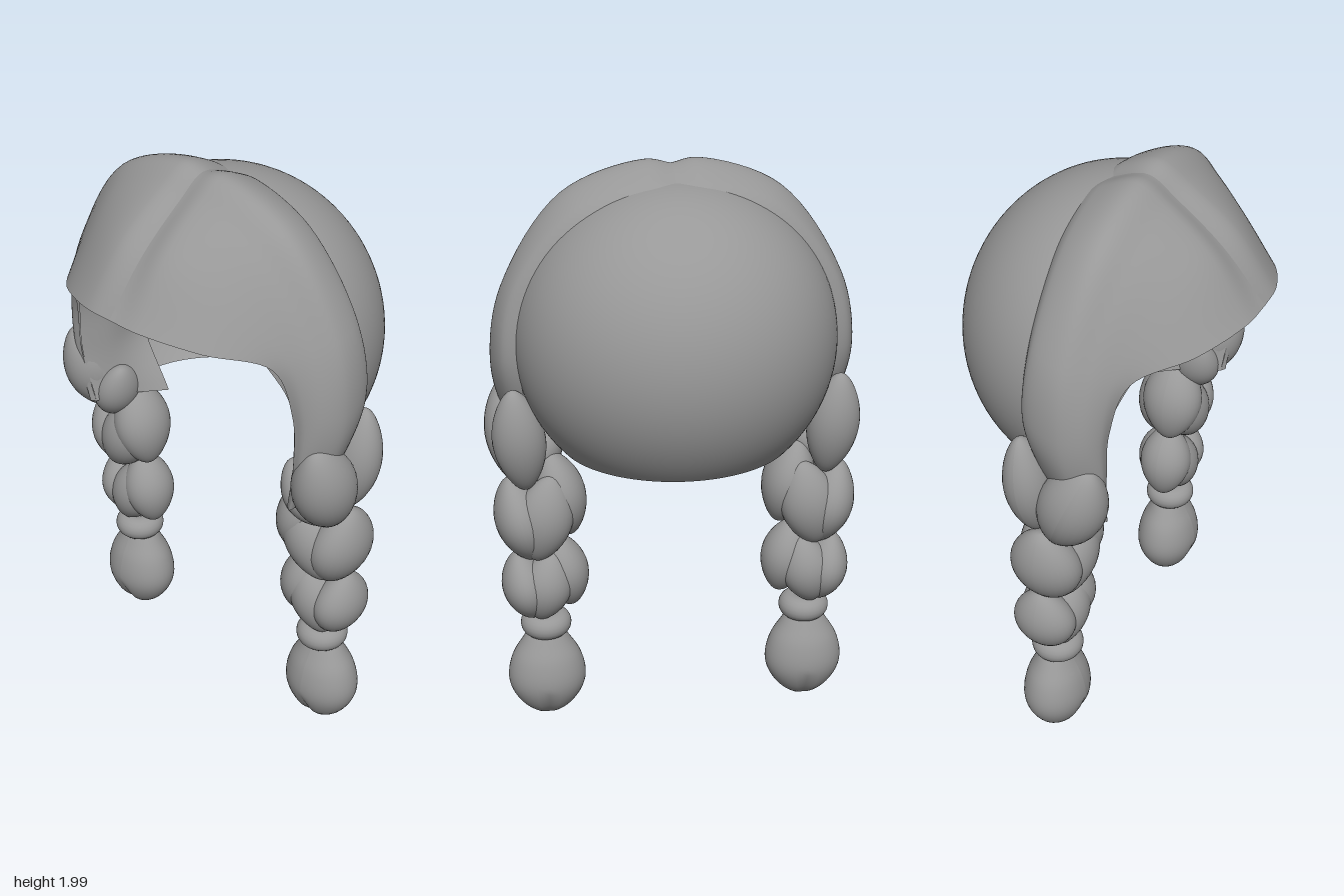
import * as THREE from 'three';

const hair = new THREE.MeshStandardMaterial({ color: 0x989898, side: THREE.DoubleSide });
hair.name = 'grey hair';

function add(parent, name, geometry) {
  const mesh = new THREE.Mesh(geometry, hair);
  mesh.name = name;
  parent.add(mesh);
  return mesh;
}

const curve = (pts) => new THREE.CatmullRomCurve3(pts.map((p) => new THREE.Vector3(...p)));

// Smooth sheet through a row of guide curves; side -1 mirrors it in x
function sheet(guides, side, nu = 40, nv = 30) {
  const curves = guides.map(curve);
  const pos = [], idx = [];
  for (let i = 0; i <= nu; i++) {
    const across = new THREE.CatmullRomCurve3(curves.map((c) => c.getPoint(i / nu)));
    for (let j = 0; j <= nv; j++) {
      const p = across.getPoint(j / nv);
      pos.push(p.x * side, p.y, p.z);
    }
  }
  for (let i = 0; i < nu; i++) {
    for (let j = 0; j < nv; j++) {
      const a = i * (nv + 1) + j, b = a + 1, c = a + nv + 1, d = c + 1;
      if (side > 0) idx.push(a, b, c, b, d, c);
      else idx.push(a, c, b, b, c, d);
    }
  }
  const g = new THREE.BufferGeometry();
  g.setAttribute('position', new THREE.Float32BufferAttribute(pos, 3));
  g.setIndex(idx);
  g.computeVertexNormals();
  return g;
}

// Plump strand of hair: an ellipsoid narrowed towards its ends
function strand(rx, ry, rz, pinch = 0.25) {
  const g = new THREE.SphereGeometry(1, 32, 24);
  const p = g.attributes.position;
  for (let i = 0; i < p.count; i++) {
    const y = p.getY(i), k = 1 - pinch * y * y;
    p.setXYZ(i, p.getX(i) * k * rx, y * ry, p.getZ(i) * k * rz);
  }
  g.computeVertexNormals();
  return g;
}

// Swept front hair, from the seam behind the ridge to the fringe edge
const frontGuides = [
  [[0, 1.925, -0.07], [0.1, 1.925, -0.07], [0.3, 1.84, -0.07], [0.48, 1.62, -0.07], [0.525, 1.38, -0.08], [0.5, 1.2, -0.06], [0.46, 1.08, -0.03]],
  [[0, 1.95, -0.02], [0.1, 1.96, -0.02], [0.34, 1.875, -0.02], [0.54, 1.62, -0.03], [0.585, 1.38, -0.04], [0.56, 1.2, 0], [0.48, 1.03, 0.02]],
  [[0, 1.985, 0.1], [0.09, 2.0, 0.1], [0.365, 1.9, 0.1], [0.57, 1.6, 0.08], [0.615, 1.36, 0.08], [0.59, 1.19, 0.1], [0.5, 1.01, 0.1]],
  [[0, 1.92, 0.2], [0.09, 1.94, 0.2], [0.33, 1.85, 0.19], [0.53, 1.59, 0.16], [0.585, 1.36, 0.16], [0.56, 1.18, 0.17], [0.49, 1.0, 0.16]],
  [[0, 1.79, 0.36], [0.1, 1.81, 0.36], [0.31, 1.74, 0.3], [0.49, 1.56, 0.22], [0.54, 1.36, 0.2], [0.53, 1.18, 0.2], [0.48, 0.99, 0.19]],
  [[0, 1.62, 0.505], [0.12, 1.615, 0.495], [0.31, 1.585, 0.41], [0.46, 1.53, 0.26], [0.5, 1.36, 0.21], [0.5, 1.18, 0.2], [0.46, 0.99, 0.18]],
];

// Lining lock that turns inward beside the face
const innerGuides = [
  [[0.42, 1.56, 0.27], [0.49, 1.4, 0.21], [0.5, 1.2, 0.2], [0.46, 0.99, 0.18]],
  [[0.33, 1.59, 0.15], [0.42, 1.42, 0.12], [0.44, 1.22, 0.11], [0.42, 1.0, 0.1]],
  [[0.24, 1.61, 0.02], [0.37, 1.44, 0], [0.425, 1.25, -0.02], [0.31, 1.01, -0.03]],
];

// Braid strands: centre, radii, tilt about z, tilt about x
const strands = [
  [[0.545, 1.07, 0.1], [0.1, 0.19, 0.115], -0.1, 0.4],
  [[0.535, 1.1, -0.06], [0.09, 0.19, 0.08], -0.1, -0.1],
  [[0.46, 1.0, 0.08], [0.075, 0.13, 0.09], 0.45, 0.25],
  [[0.4, 0.86, 0.02], [0.09, 0.16, 0.11], -0.22, 0],
  [[0.535, 0.785, -0.005], [0.092, 0.16, 0.125], -0.25, 0],
  [[0.45, 0.8, 0.045], [0.1, 0.16, 0.09], 0.45, 0],
  [[0.46, 0.8, -0.05], [0.1, 0.16, 0.08], 0.2, 0],
  [[0.395, 0.575, 0], [0.087, 0.14, 0.095], -0.2, 0],
  [[0.53, 0.535, -0.02], [0.082, 0.13, 0.11], -0.2, 0],
  [[0.45, 0.54, 0.02], [0.09, 0.14, 0.08], 0.35, 0],
  [[0.46, 0.54, -0.05], [0.09, 0.13, 0.08], 0.2, 0],
];

// Loose tail end with a shallow crease at the tip
function tailGeometry() {
  const outline = [[0, 0.01], [0.035, 0.018], [0.09, 0.06], [0.128, 0.12], [0.137, 0.18], [0.12, 0.25], [0.085, 0.31], [0.06, 0.35]];
  const pts = new THREE.SplineCurve(outline.map((p) => new THREE.Vector2(...p))).getPoints(28);
  pts[0].x = 0;
  const g = new THREE.LatheGeometry(pts, 40);
  const p = g.attributes.position;
  for (let i = 0; i < p.count; i++) {
    const x = p.getX(i), y = p.getY(i);
    const low = Math.max(0, 1 - y / 0.15);
    const crease = 1 - 0.3 * low * Math.exp(-((x / 0.018) ** 2));
    p.setZ(i, p.getZ(i) * 0.81 * crease);
  }
  g.computeVertexNormals();
  return g;
}

function braid(side) {
  const g = new THREE.Group();
  g.name = side > 0 ? 'leftBraid' : 'rightBraid';
  for (const [c, r, tiltZ, tiltX] of strands) {
    const m = add(g, 'braidStrand', strand(...r));
    m.position.set(c[0] * side, c[1], c[2]);
    m.rotation.set(tiltX, 0, tiltZ * side);
  }
  // Hair tie: a flattened ring
  const tie = add(g, 'hairTie', new THREE.TorusGeometry(0.045, 0.044, 20, 40));
  tie.rotation.x = Math.PI / 2;
  tie.position.set(0.463 * side, 0.375, -0.01);
  const tail = add(g, 'braidTail', tailGeometry());
  tail.position.set(0.465 * side, 0, -0.015);
  return g;
}

export function createModel() {
  const model = new THREE.Group();
  model.name = 'braidedHair';

  // Rounded back of the hair, cut level at the nape
  const cap = new THREE.SphereGeometry(1, 64, 40, Math.PI, Math.PI, 0, Math.acos(-0.36 / 0.53));
  cap.scale(0.54, 0.53, 0.505);
  cap.translate(0, 1.42, 0);
  add(model, 'backHair', cap);

  for (const side of [1, -1]) {
    add(model, 'frontHair', sheet(frontGuides, side, 48, 40));
    add(model, 'innerLock', sheet(innerGuides, side, 24, 12));
    model.add(braid(side));
  }
  return model;
}
